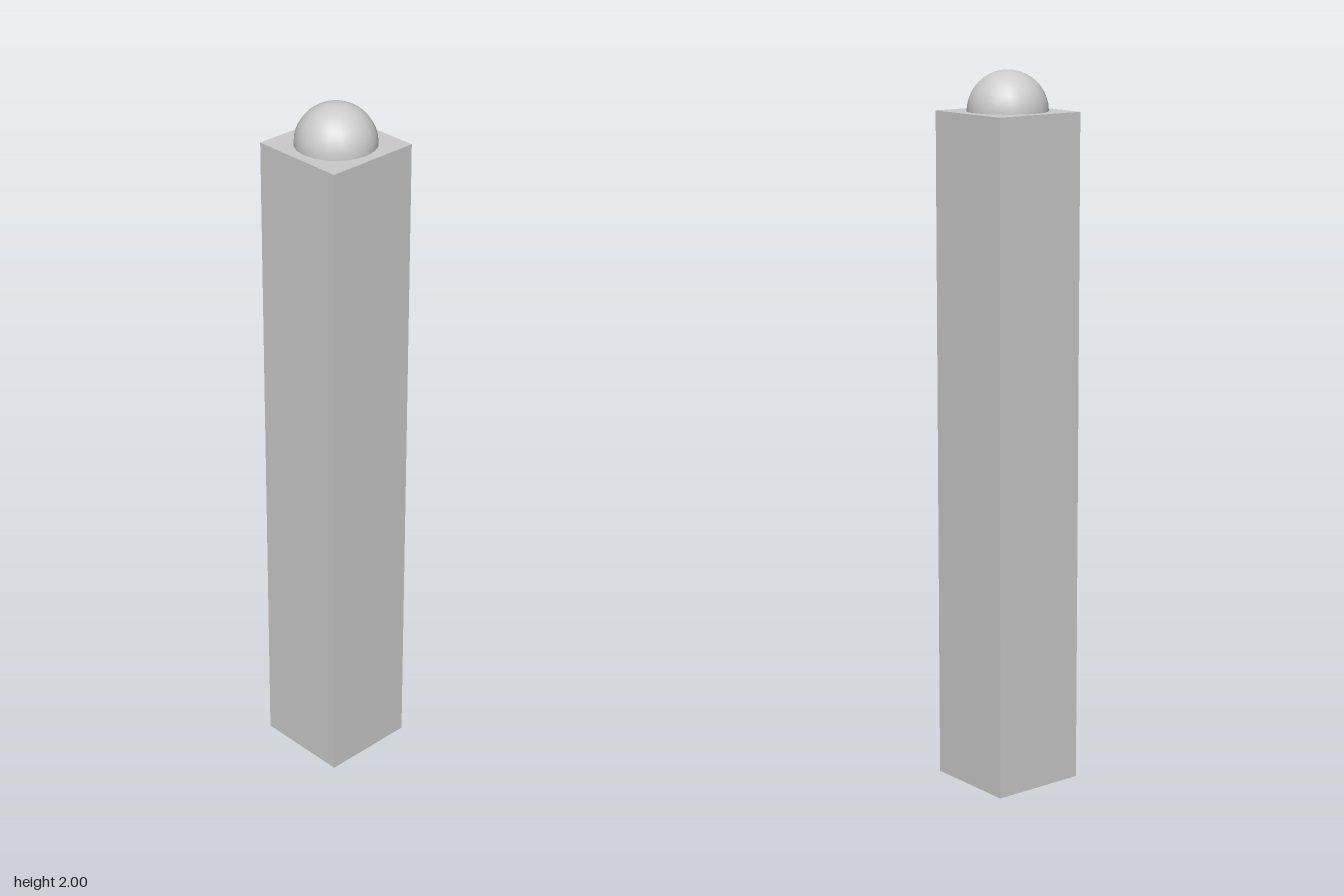
import * as THREE from 'three';

export function createModel() {
  const group = new THREE.Group();
  const material = new THREE.MeshStandardMaterial({ color: 0xcccccc });
  const width = 0.277, height = 1.889, radius = 2 - height;

  // Square post
  const post = new THREE.Mesh(new THREE.BoxGeometry(width, height, width), material);
  post.name = 'post';
  post.position.y = height / 2;
  group.add(post);

  // Domed cap: the upper half of a ball resting on the post
  const cap = new THREE.Mesh(
    new THREE.SphereGeometry(radius, 20, 10, 0, Math.PI * 2, 0, Math.PI / 2), material);
  cap.name = 'domeCap';
  cap.position.y = height;
  group.add(cap);

  return group;
}
